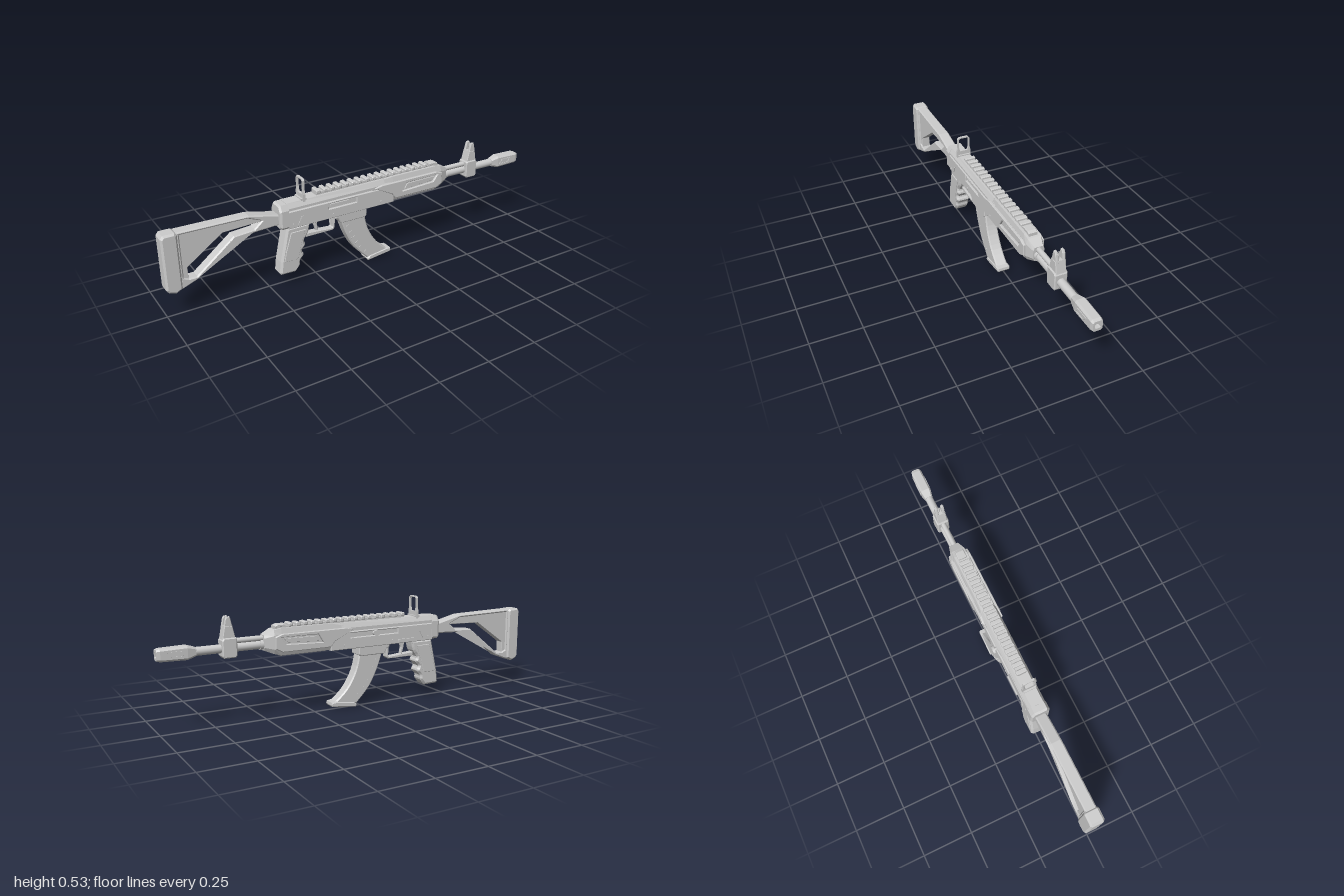
import * as THREE from 'three';

export function createModel() {
  const model = new THREE.Group();
  model.name = 'model';
  const body = new THREE.Group();
  body.name = 'body';
  body.position.z = 0.006;
  model.add(body);
  const grey = new THREE.MeshStandardMaterial({ color: 0xcccccc, side: THREE.DoubleSide });
  grey.name = 'grey';

  function add(name, geo, x = 0, y = 0, z = 0) {
    const mesh = new THREE.Mesh(geo, grey);
    mesh.name = name;
    mesh.position.set(x, y, z);
    body.add(mesh);
    return mesh;
  }
  const v2 = (pts) => pts.map(([x, y]) => new THREE.Vector2(x, y));
  const curve = (pts, n = 12) =>
    new THREE.SplineCurve(v2(pts)).getPoints(n).map((p) => [p.x, p.y]);
  // Points in a fixed turning direction, so outlines and holes face the right way
  const turned = (pts, clockwise) => {
    const p = v2(pts);
    return THREE.ShapeUtils.isClockWise(p) === clockwise ? p : p.reverse();
  };

  // Side outline, extruded across z with a chamfered edge
  function slab(name, pts, half, bevel = 0, holes = [], z = 0) {
    const shape = new THREE.Shape(turned(pts, false));
    holes.forEach((h) => shape.holes.push(new THREE.Path(turned(h, true))));
    const geo = new THREE.ExtrudeGeometry(shape, {
      depth: 2 * (half - bevel), bevelEnabled: bevel > 0, bevelThickness: bevel,
      bevelSize: bevel, bevelOffset: -bevel, bevelSegments: 1,
    });
    geo.translate(0, 0, bevel - half);
    return add(name, geo, 0, 0, z);
  }
  const box = (name, x0, x1, y0, y1, half, z = 0) =>
    add(name, new THREE.BoxGeometry(x1 - x0, y1 - y0, 2 * half), (x0 + x1) / 2, (y0 + y1) / 2, z);
  const rect = (x0, x1, y0, y1) => [[x0, y0], [x1, y0], [x1, y1], [x0, y1]];

  // Eight-sided sections along x: [x, bottom, top, bottomHalf, sideHalf, topHalf, bottomCut, topCut]
  function loft(name, sections) {
    const rings = sections.map(([x, yb, yt, wb, w, wt, cb, ct]) => {
      const half = [[yt, wt], [yt - ct, w], [yb + cb, w], [yb, wb]];
      return [...half, ...half.slice().reverse().map(([y, z]) => [y, -z])].map(([y, z]) => [x, y, z]);
    });
    const pos = [];
    for (let s = 0; s < rings.length - 1; s++) {
      const a = rings[s], b = rings[s + 1];
      for (let i = 0; i < 8; i++) {
        const j = (i + 1) % 8;
        pos.push(...a[i], ...a[j], ...b[j], ...a[i], ...b[j], ...b[i]);
      }
    }
    const first = rings[0], last = rings[rings.length - 1];
    for (let i = 1; i < 7; i++) {
      pos.push(...first[0], ...first[i + 1], ...first[i]);
      pos.push(...last[0], ...last[i], ...last[i + 1]);
    }
    const geo = new THREE.BufferGeometry();
    geo.setAttribute('position', new THREE.Float32BufferAttribute(pos, 3));
    geo.computeVertexNormals();
    return add(name, geo);
  }
  function rod(name, x0, x1, y, r) {
    const geo = new THREE.CylinderGeometry(r, r, x1 - x0, 20);
    geo.rotateZ(Math.PI / 2);
    return add(name, geo, (x0 + x1) / 2, y);
  }
  function crossPin(name, r, length, x, y, z) {
    const geo = new THREE.CylinderGeometry(r, r, length, 16);
    geo.rotateX(Math.PI / 2);
    return add(name, geo, x, y, z);
  }

  // Shoulder stock: chamfered frame, thinner web panel above the open slot, butt pad
  slab('stockFrame', [[-0.93, 0.415], [-0.595, 0.41], [-0.44, 0.375], [-0.44, 0.325],
    [-0.67, 0.314], [-0.855, 0.163], [-0.93, 0.135]], 0.028, 0.006,
  [[[-0.893, 0.18], [-0.915, 0.19], [-0.915, 0.4], [-0.6, 0.396], [-0.53, 0.368],
    [-0.57, 0.335], [-0.67, 0.328], [-0.855, 0.18]]]);
  slab('stockPanel', [[-0.925, 0.405], [-0.59, 0.402], [-0.52, 0.37], [-0.535, 0.364],
    [-0.72, 0.357], [-0.893, 0.235], [-0.893, 0.17], [-0.925, 0.16]], 0.022, 0.002);
  slab('buttPad', [[-1, 0.4], [-0.988, 0.416], [-0.935, 0.416], [-0.925, 0.405], [-0.925, 0.143],
    [-0.955, 0.126], [-0.988, 0.136], [-1, 0.153]], 0.036, 0.009);

  // Receiver: core, side plates with openings, top cover and rear collar
  loft('rearCollar', [[-0.45, 0.31, 0.415, 0.036, 0.042, 0.028, 0.01, 0.025],
    [-0.44, 0.303, 0.422, 0.04, 0.047, 0.032, 0.01, 0.028],
    [-0.405, 0.303, 0.422, 0.04, 0.047, 0.032, 0.01, 0.028]]);
  box('receiverCore', -0.41, 0.17, 0.3, 0.4, 0.034);
  const openings = { '1': rect(-0.195, -0.04, 0.348, 0.376), '-1': rect(-0.2, 0.07, 0.353, 0.376) };
  for (const s of [-1, 1]) {
    slab('receiverSide', rect(-0.41, 0.175, 0.298, 0.384), 0.02, 0.003, [openings[s]], s * 0.024);
    slab('sideRib', [[-0.36, 0.312], [-0.35, 0.312], [-0.33, 0.35], [-0.34, 0.35]],
      0.002, 0, [], s * 0.045);
    for (const x of [-0.38, -0.17, 0.1]) crossPin('pin', 0.006, 0.006, x, 0.318, s * 0.044);
  }
  box('boltCover', -0.185, -0.08, 0.358, 0.37, 0.004, 0.036);
  loft('topCover', [[-0.41, 0.393, 0.424, 0.043, 0.043, 0.03, 0.001, 0.024],
    [0.12, 0.393, 0.428, 0.043, 0.043, 0.031, 0.001, 0.026]]);

  // Charging handle and selector on the far side
  crossPin('handleStem', 0.007, 0.03, -0.065, 0.366, -0.046);
  crossPin('handleKnob', 0.018, 0.011, -0.065, 0.368, -0.06).scale.set(1.15, 0.75, 1);
  box('selector', -0.3, -0.2, 0.308, 0.32, 0.004, -0.047);

  // Handguard: tapered core, raised cheeks with slanted windows
  loft('handguard', [[0.05, 0.32, 0.42, 0.036, 0.041, 0.03, 0.01, 0.02],
    [0.17, 0.303, 0.43, 0.032, 0.041, 0.034, 0.025, 0.028],
    [0.43, 0.303, 0.43, 0.032, 0.041, 0.034, 0.025, 0.028],
    [0.465, 0.312, 0.423, 0.03, 0.041, 0.032, 0.022, 0.025],
    [0.51, 0.33, 0.402, 0.018, 0.027, 0.02, 0.015, 0.015]]);
  for (const s of [-1, 1]) {
    slab('handguardCheek', [[0.06, 0.396], [0.1, 0.405], [0.43, 0.405], [0.465, 0.393],
      [0.465, 0.338], [0.43, 0.32], [0.18, 0.32], [0.16, 0.345]], 0.007, 0.003,
    [[[0.22, 0.347], [0.245, 0.388], [0.437, 0.39], [0.41, 0.356]]], s * 0.045);
    slab('windowInsert', [[0.238, 0.355], [0.254, 0.38], [0.42, 0.382], [0.4, 0.363]],
      0.004, 0.001, [], s * 0.041);
  }
  slab('handguardKeel', [[0.17, 0.33], [0.17, 0.303], [0.2, 0.298], [0.43, 0.298], [0.5, 0.33]],
    0.024, 0.004);

  // Accessory rail
  box('railBase', -0.25, 0.455, 0.42, 0.438, 0.021);
  for (let i = 0; i < 17; i++) {
    const x = -0.25 + i * 0.0385;
    slab('railTooth', [[x, 0.433], [x + 0.022, 0.433], [x + 0.022, 0.446], [x + 0.018, 0.45],
      [x + 0.004, 0.45], [x, 0.446]], 0.027, 0.003);
  }
  slab('railNose', [[0.4, 0.432], [0.455, 0.432], [0.455, 0.44], [0.44, 0.446], [0.4, 0.446]], 0.022, 0.003);

  // Rear aperture sight, drawn in z-y and turned to face along x
  const mirror = (pts) => [...pts, ...pts.slice().reverse().map(([x, y]) => [-x, y])];
  const sight = slab('rearSight',
    mirror([[0.036, 0.415], [0.036, 0.45], [0.032, 0.47], [0.032, 0.517], [0.023, 0.527]]), 0.006, 0,
    [mirror([[0.021, 0.45], [0.026, 0.47], [0.026, 0.514], [0.02, 0.521]])]);
  sight.rotation.y = Math.PI / 2;
  sight.position.x = -0.32;
  box('rearSightBase', -0.335, -0.305, 0.418, 0.43, 0.032);

  // Barrel, gas tube and front sight
  rod('barrel', 0.48, 0.85, 0.357, 0.02);
  rod('gasTube', 0.48, 0.65, 0.387, 0.013);
  rod('barrelCollar', 0.5, 0.525, 0.357, 0.024);
  slab('frontSightBlock', [[0.64, 0.325], [0.648, 0.315], [0.703, 0.315], [0.71, 0.325],
    [0.71, 0.395], [0.702, 0.407], [0.645, 0.407], [0.64, 0.4]], 0.031, 0.005);
  slab('frontSightBase', [[0.645, 0.4], [0.707, 0.4], [0.696, 0.46], [0.659, 0.46]], 0.025, 0.003);
  for (const s of [-1, 1]) {
    slab('frontSightEar', [[0.655, 0.44], [0.7, 0.44], [0.691, 0.49], [0.685, 0.502],
      [0.67, 0.502], [0.666, 0.49]], 0.007, 0.003, [], s * 0.0165);
  }
  add('frontSightPost', new THREE.CylinderGeometry(0.0025, 0.005, 0.05, 10), 0.678, 0.47);

  // Muzzle device with recessed bore and slanted side slots
  loft('muzzle', [[0.825, 0.338, 0.377, 0.012, 0.019, 0.012, 0.008, 0.008],
    [0.865, 0.326, 0.389, 0.018, 0.026, 0.018, 0.009, 0.009],
    [0.985, 0.329, 0.386, 0.018, 0.026, 0.018, 0.009, 0.009],
    [1, 0.333, 0.382, 0.016, 0.022, 0.016, 0.007, 0.007],
    [1, 0.345, 0.37, 0.009, 0.013, 0.009, 0.004, 0.004],
    [0.955, 0.345, 0.37, 0.009, 0.013, 0.009, 0.004, 0.004]]);
  for (const s of [-1, 1]) {
    slab('muzzleSlot', [[0.87, 0.343], [0.89, 0.37], [0.955, 0.37], [0.935, 0.343]], 0.003, 0,
      [[[0.882, 0.348], [0.895, 0.365], [0.943, 0.365], [0.93, 0.348]]], s * 0.026);
  }

  // Grip with finger scallops and side panels
  const fingers = curve([[-0.29, 0.3], [-0.302, 0.25], [-0.325, 0.215], [-0.318, 0.19], [-0.338, 0.165],
    [-0.328, 0.14], [-0.348, 0.115], [-0.35, 0.09], [-0.375, 0.06]], 24);
  slab('grip', [[-0.413, 0.3], ...fingers, [-0.45, 0.062], [-0.457, 0.072], [-0.45, 0.13]], 0.036, 0.01);
  for (const s of [-1, 1]) {
    slab('gripPanel', [[-0.395, 0.275], [-0.32, 0.275], [-0.345, 0.2], [-0.362, 0.13],
      [-0.435, 0.13], [-0.425, 0.18]], 0.004, 0.002, [], s * 0.036);
  }

  // Trigger and guard
  slab('triggerGuard', [[-0.31, 0.232], [-0.305, 0.22], [-0.16, 0.22], [-0.15, 0.23], [-0.15, 0.3],
    [-0.16, 0.3], [-0.16, 0.236], [-0.165, 0.23], [-0.31, 0.24]], 0.017, 0.002);
  slab('trigger', [[-0.262, 0.3], [-0.235, 0.3], [-0.243, 0.27], [-0.237, 0.238], [-0.248, 0.236],
    [-0.257, 0.268]], 0.009, 0.002);
  box('magazineCatch', -0.165, -0.145, 0.25, 0.3, 0.012);

  // Curved magazine, its well, side ribs and floor plate
  slab('magazineWell', [[-0.155, 0.305], [0.02, 0.305], [0.02, 0.262], [0.01, 0.254],
    [-0.125, 0.254], [-0.14, 0.28], [-0.155, 0.285]], 0.038, 0.004);
  const rear = [[-0.122, 0.27], [-0.09, 0.18], [-0.042, 0.092], [0.03, 0.016]];
  const front = [[0.158, 0.03], [0.085, 0.095], [0.035, 0.18], [0.012, 0.27]];
  slab('magazine', [...curve(rear), ...curve(front)], 0.029, 0.006);
  const rearLine = new THREE.SplineCurve(v2(rear));
  for (const s of [-1, 1]) {
    for (let i = 0; i < 6; i++) {
      const p = rearLine.getPoint(0.2 + i * 0.13), t = rearLine.getTangent(0.2 + i * 0.13);
      const rib = box('magazineRib', -0.009, 0.009, -0.003, 0.003, 0.002, s * 0.029);
      rib.position.set(p.x - t.y * 0.022, p.y + t.x * 0.022, s * 0.029);
      rib.rotation.z = Math.atan2(t.x, -t.y);
    }
  }
  slab('magazineFloor', [[0.028, 0.012], [0.035, 0], [0.165, 0.016], [0.17, 0.024],
    [0.168, 0.037], [0.145, 0.04], [0.045, 0.026]], 0.033, 0.005);

  return model;
}
